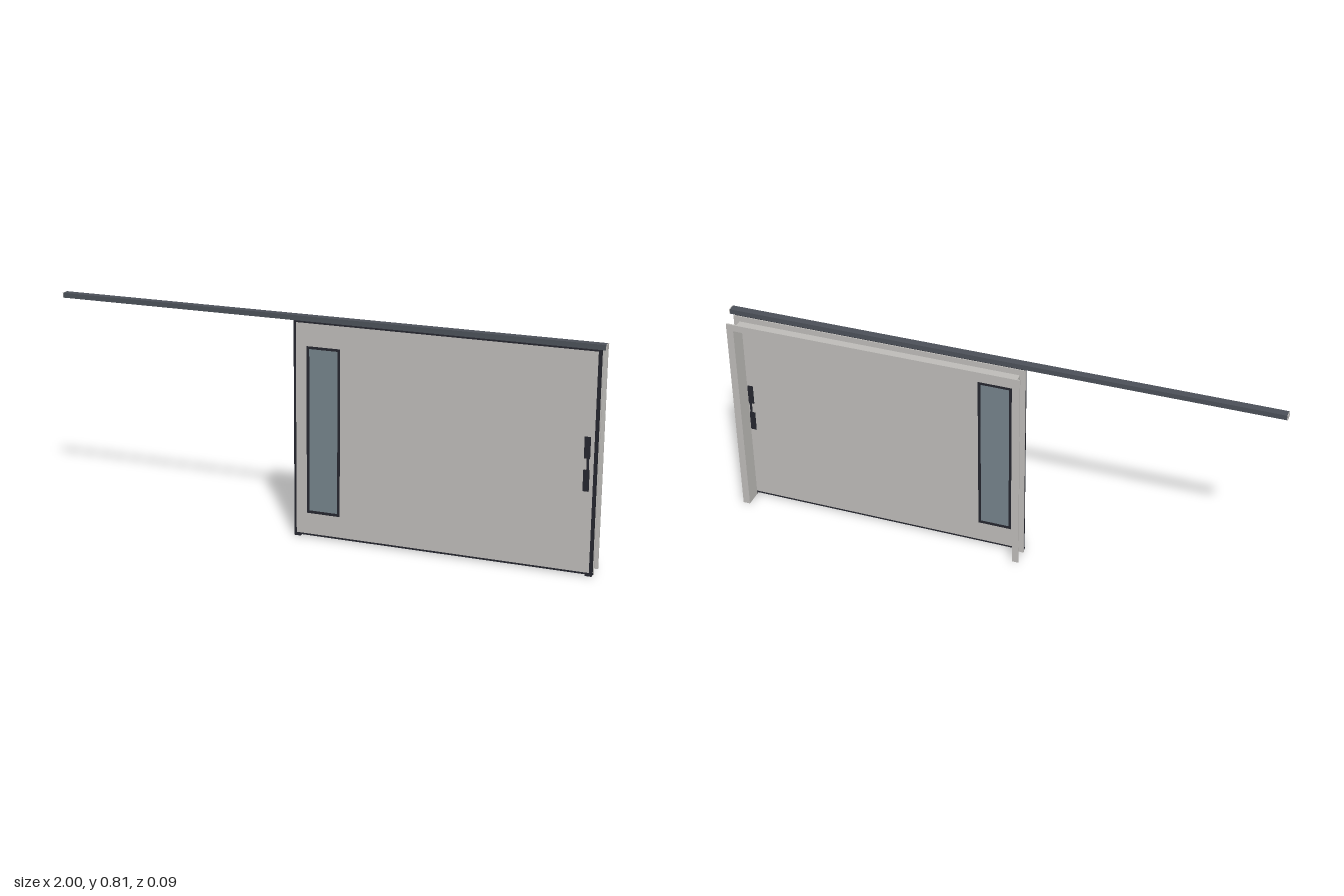
import * as THREE from 'three';

const mat = (name, color, side = THREE.FrontSide) => {
  const m = new THREE.MeshStandardMaterial({ color, side });
  m.name = name;
  return m;
};

export function createModel() {
  const root = new THREE.Group();
  root.name = 'slidingDoor';
  const grey = mat('painted grey', 0xbdbbb8);
  const rail = mat('rail steel', 0x4b5058);
  const black = mat('black trim', 0x25262e);
  const glass = mat('window glass', 0x74828a);

  // Box given by its limits on each axis
  const box = (name, m, [x0, x1], [y0, y1], [z0, z1], parent = root) => {
    const mesh = new THREE.Mesh(new THREE.BoxGeometry(x1 - x0, y1 - y0, z1 - z0), m);
    mesh.position.set((x0 + x1) / 2, (y0 + y1) / 2, (z0 + z1) / 2);
    mesh.name = name;
    parent.add(mesh);
    return mesh;
  };

  // Rectangular ring, extruded between z0 and z1
  const rectangle = (Type, x0, x1, y0, y1) => new Type([
    [x0, y0], [x1, y0], [x1, y1], [x0, y1],
  ].map(([x, y]) => new THREE.Vector2(x, y)));
  const extrude = (name, m, shape, z0, z1, parent = root) => {
    const geo = new THREE.ExtrudeGeometry(shape, { depth: z1 - z0, bevelEnabled: false });
    const mesh = new THREE.Mesh(geo, m);
    mesh.position.z = z0;
    mesh.name = name;
    parent.add(mesh);
  };
  const ring = (o, i) => {
    const s = rectangle(THREE.Shape, ...o);
    s.holes.push(rectangle(THREE.Path, ...i));
    return s;
  };

  // Overhead rail with pale end caps and a dark track slot
  box('rail', rail, [-0.997, 0.997], [0.79, 0.808], [0.017, 0.045]);
  for (const s of [-1, 1]) {
    const a = s * 0.997, b = s;
    box('railEndCap', grey, [Math.min(a, b), Math.max(a, b)], [0.79, 0.808], [0.017, 0.045]);
  }
  box('railSlot', black, [-0.99, 0.99], [0.789, 0.791], [0.024, 0.038]);

  // Door leaf with window opening and dark edge seals
  const door = new THREE.Group();
  door.name = 'door';
  root.add(door);
  const win = [-0.052, 0.072, 0.09, 0.7];
  extrude('doorPanel', grey, ring([-0.092, 0.972, 0.012, 0.782], win), 0.024, 0.037, door);
  extrude('edgeSeal', black, ring([-0.1, 0.982, 0.006, 0.787], [-0.092, 0.972, 0.012, 0.782]), 0.0235, 0.038, door);
  const inner = [-0.043, 0.063, 0.099, 0.691];
  extrude('windowFrame', black, ring(win, inner), 0.023, 0.0385, door);
  box('windowGlass', glass, inner.slice(0, 2), inner.slice(2), [0.026, 0.035], door);

  // Pull handle: two grips joined by a slim bar, on both faces
  for (const z of [[0.0365, 0.0395], [0.0215, 0.0245]]) {
    box('handleUpper', black, [0.938, 0.959], [0.415, 0.49], z, door);
    box('handleLower', black, [0.938, 0.959], [0.3, 0.375], z, door);
    box('handleBar', black, [0.948, 0.956], [0.37, 0.42], z, door);
  }

  // Hangers above and floor guides below
  for (const x of [-0.05, 0.94]) box('hanger', black, [x - 0.012, x + 0.012], [0.78, 0.793], [0.026, 0.036], door);
  for (const x of [-0.088, 0.97]) box('floorGuide', black, [x - 0.012, x + 0.012], [0.001, 0.007], [0.021, 0.041]);

  // Three-sided frame: a lining between two outward flanges
  const arch = (x0, x1, top) => {
    const [a, b, t] = [-0.079, 0.959, 0.761];
    return new THREE.Shape([
      [x0, 0], [a, 0], [a, t], [b, t], [b, 0], [x1, 0], [x1, top], [x0, top],
    ].map(([x, y]) => new THREE.Vector2(x, y)));
  };
  extrude('frameLining', grey, arch(-0.083, 0.963, 0.765), -0.039, 0.017);
  extrude('frameBackFlange', grey, arch(-0.103, 0.985, 0.786), -0.044, -0.039);
  extrude('frameFrontFlange', grey, arch(-0.103, 0.985, 0.786), 0.017, 0.021);

  return root;
}
